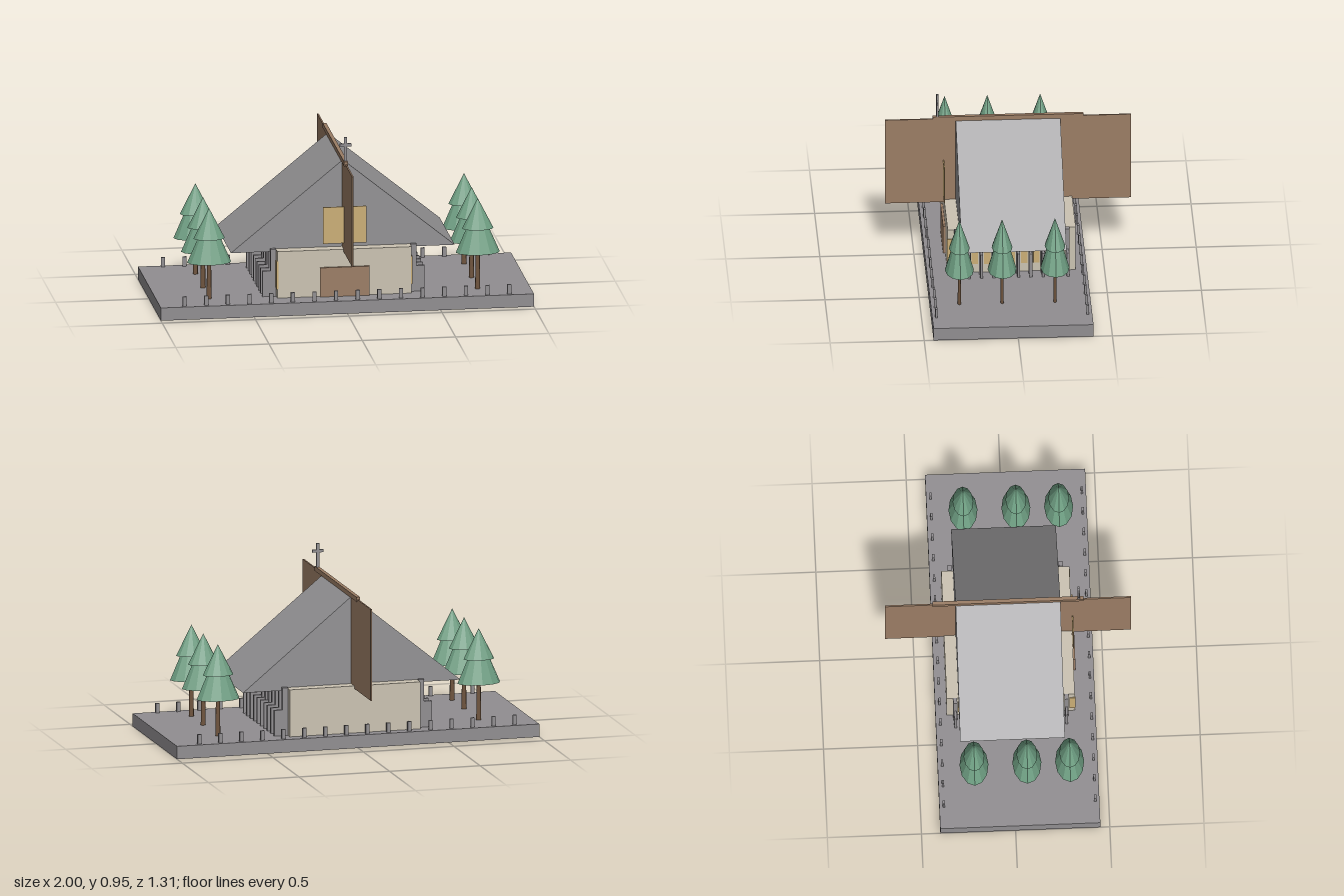
import * as THREE from 'three';

const paint = (name, color, flatShading = false) => {
  const m = new THREE.MeshStandardMaterial({ color, flatShading });
  m.name = name;
  return m;
};

export function createModel() {
  const model = new THREE.Group();
  model.name = 'chapel';

  const stone = paint('stone grey', 0x918e91);
  const slate = paint('roof grey', 0x939294);
  const plaster = paint('plaster cream', 0xcbc3b2);
  const glass = paint('amber glass', 0xcbae76);
  const wood = paint('wood brown', 0x9b7d65);
  const bark = paint('bark brown', 0x6f543d);
  const leaf = paint('pine green', 0x6f9f83, true);

  const add = (name, geometry, material, x = 0, y = 0, z = 0, parent = model) => {
    const mesh = new THREE.Mesh(geometry, material);
    mesh.name = name;
    mesh.position.set(x, y, z);
    parent.add(mesh);
    return mesh;
  };
  // Box given by its centre in x and z and its bottom and top in y
  const box = (name, material, w, d, y0, y1, x = 0, z = 0, parent = model) =>
    add(name, new THREE.BoxGeometry(w, y1 - y0, d), material, x, (y0 + y1) / 2, z, parent);

  const ground = 0.07;
  box('base', stone, 2, 0.85, 0, ground, 0, 0.025);

  // Nave, door and gable window
  box('nave', plaster, 0.72, 0.68, ground, 0.325);
  box('door', wood, 0.265, 0.016, ground, 0.23, 0, 0.344);
  box('gableWindow', glass, 0.232, 0.006, 0.36, 0.56, 0, 0.343);

  // Solid gabled roof
  const gable = new THREE.Shape([
    new THREE.Vector2(-0.6, 0.31),
    new THREE.Vector2(0.6, 0.31),
    new THREE.Vector2(0, 0.8),
  ]);
  add('roof', new THREE.ExtrudeGeometry(gable, { depth: 0.556, bevelEnabled: false }), slate, 0, 0, -0.278);

  // Thin upright fin through the roof, with a beam along the ridge
  box('fin', wood, 0.008, 1.306, 0.31, 0.806);
  box('ridgeBeam', wood, 0.02, 0.8, 0.795, 0.82);

  // Cross on the front of the ridge
  const cross = new THREE.Group();
  cross.name = 'cross';
  model.add(cross);
  box('crossPost', stone, 0.015, 0.012, 0.82, 0.95, 0, 0.375, cross);
  box('crossArm', stone, 0.062, 0.009, 0.9, 0.915, 0, 0.375, cross);

  // Stepped buttresses and the windows between them
  for (const side of [-1, 1]) {
    for (let i = 0; i < 10; i++) {
      const z = 0.295 - i * 0.0656;
      box('buttress', stone, 0.03, 0.021, ground, 0.33, side * 0.376, z);
      box('buttressFoot', stone, 0.048, 0.014, ground, 0.21, side * 0.411, z);
      box('sideWindow', glass, 0.009, 0.034, 0.12, 0.272, side * 0.36, z + 0.0328);
    }
  }

  // Rows of low posts along the front and back edges
  for (const z of [0.428, -0.376]) {
    for (let i = 0; i < 16; i++) {
      box('fencePost', stone, 0.021, 0.012, ground, 0.122, -0.87 + i * 0.116, z);
    }
  }

  // Pines, oval in plan
  for (const x of [-0.72, 0.72]) {
    for (const z of [0.298, 0.071, -0.21]) {
      const tree = new THREE.Group();
      tree.name = 'pineTree';
      tree.position.set(x, 0, z);
      tree.scale.x = 1.53;
      model.add(tree);
      add('trunk', new THREE.CylinderGeometry(0.007, 0.009, 0.24, 8), bark, 0, 0.19, 0, tree);
      add('lowerBranches', new THREE.ConeGeometry(0.077, 0.27, 12), leaf, 0, 0.407, 0, tree);
      add('upperBranches', new THREE.ConeGeometry(0.055, 0.165, 12), leaf, 0, 0.485, 0, tree);
    }
  }
  return model;
}
